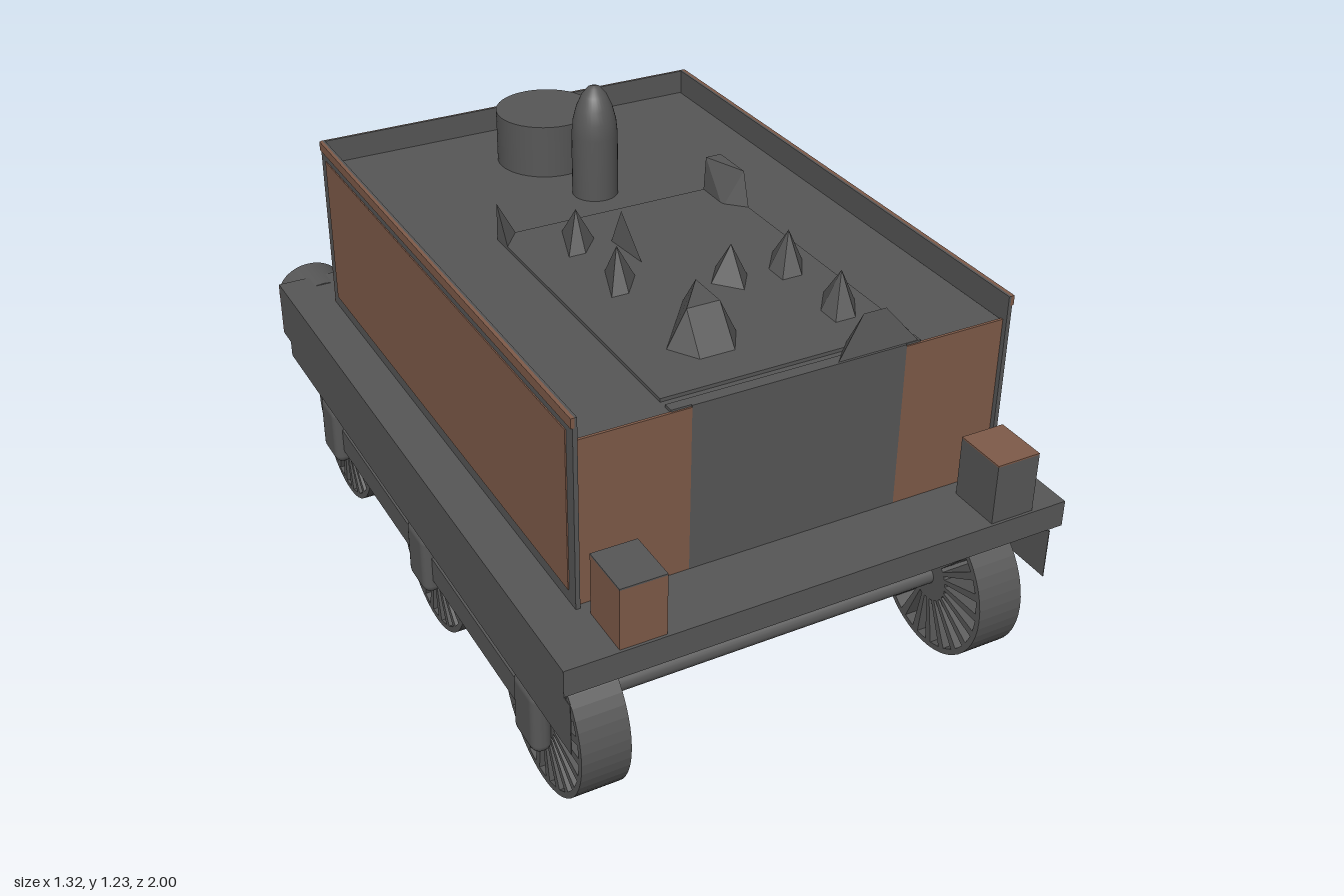
import * as THREE from 'three';
import { RoundedBoxGeometry } from 'three/addons/geometries/RoundedBoxGeometry.js';
import { ConvexGeometry } from 'three/addons/geometries/ConvexGeometry.js';

const mat = (name, color) => {
  const m = new THREE.MeshStandardMaterial({ color });
  m.name = name;
  return m;
};

export function createModel() {
  const grey = mat('ironGrey', 0x575757);
  const brown = mat('panelBrown', 0x7f5b49);
  const red = mat('beamRed', 0xb86668);
  const green = mat('plateGreen', 0xb2c08c);

  const model = new THREE.Group();
  model.name = 'coalTender';

  const add = (name, geo, material, x = 0, y = 0, z = 0, parent = model) => {
    const m = new THREE.Mesh(geo, material);
    m.name = name;
    m.position.set(x, y, z);
    parent.add(m);
    return m;
  };
  // Box given by its limits on each axis
  const box = (name, material, x0, x1, y0, y1, z0, z1, parent = model) =>
    add(name, new THREE.BoxGeometry(x1 - x0, y1 - y0, z1 - z0), material,
      (x0 + x1) / 2, (y0 + y1) / 2, (z0 + z1) / 2, parent);

  // Chassis
  box('footplate', grey, -0.655, 0.66, 0.437, 0.507, -0.92, 0.97);
  box('leftValance', grey, 0.619, 0.621, 0.302, 0.437, -0.86, 0.975);
  box('rightValance', grey, -0.655, -0.653, 0.302, 0.437, -0.86, 1.0);
  box('bufferBeam', grey, -0.655, 0.66, 0.347, 0.437, -0.92, -0.86);
  box('bufferBeamPaint', red, -0.655, 0.66, 0.348, 0.503, -0.923, -0.919);
  box('waterWell', grey, -0.335, 0.335, 0.232, 0.395, -0.78, 0.55);
  box('wellMount', grey, -0.3, 0.3, 0.39, 0.437, -0.75, 0.5);

  // Buffers
  for (const x of [-0.54, 0.537]) {
    const buffer = add('buffer', new THREE.CylinderGeometry(1, 1, 0.138, 32), grey, x, 0.432, -0.931);
    buffer.rotation.x = Math.PI / 2;
    buffer.scale.set(0.095, 1, 0.078);
  }

  // Spoked wheel outline, extruded along its axle
  const R = 0.21, WIDTH = 0.123, SPOKES = 22;
  const disc = new THREE.Shape().absarc(0, 0, R, 0, Math.PI * 2, false);
  const polar = (r, a) => new THREE.Vector2(Math.cos(a) * r, Math.sin(a) * r);
  for (let i = 0; i < SPOKES; i++) {
    const a = (i / SPOKES) * Math.PI * 2, b = ((i + 1) / SPOKES) * Math.PI * 2;
    const inner = 0.0055 / 0.07, outer = 0.0105 / 0.195;
    disc.holes.push(new THREE.Path([
      polar(0.07, a + inner), polar(0.07, b - inner),
      polar(0.195, b - outer), polar(0.195, a + outer),
    ]));
  }
  const wheelGeo = new THREE.ExtrudeGeometry(disc, { depth: WIDTH, bevelEnabled: false, curveSegments: 24 });
  wheelGeo.translate(0, 0, -WIDTH / 2);
  wheelGeo.rotateY(Math.PI / 2);
  const axleGeo = new THREE.CylinderGeometry(0.024, 0.024, 0.98, 16);
  axleGeo.rotateZ(Math.PI / 2);
  const axleBoxGeo = new RoundedBoxGeometry(0.052, 0.174, 0.12, 3, 0.024);

  for (const z of [0.745, 0.093, -0.567]) {
    const wheelset = new THREE.Group();
    wheelset.name = 'wheelset';
    wheelset.position.set(-0.015, R, z);
    model.add(wheelset);
    add('axle', axleGeo, grey, 0, 0, 0, wheelset);
    for (const s of [-1, 1]) {
      add('wheel', wheelGeo, grey, s * 0.533, 0, 0, wheelset);
      add('axleBox', axleBoxGeo, grey, s * 0.614, 0.004, 0, wheelset);
    }
  }
  // Bars joining the axle boxes
  for (const s of [-1, 1]) {
    const x = -0.015 + s * 0.61;
    box('axleBoxBar', grey, x - 0.008, x + 0.008, 0.17, 0.24, -0.567, 0.745);
  }

  // Tank body
  box('tankBody', grey, -0.535, 0.56, 0.507, 0.933, -0.745, 0.783);
  box('frontPanel', brown, -0.54, -0.255, 0.507, 0.935, 0.78, 0.787);
  box('frontPanel', brown, 0.295, 0.565, 0.507, 0.935, 0.78, 0.787);
  box('frontDoor', grey, -0.255, 0.295, 0.507, 0.94, 0.78, 0.787);
  box('rearWall', grey, -0.535, 0.565, 0.507, 1.0, -0.749, -0.744);
  box('rearPanel', brown, -0.543, 0.573, 0.507, 1.0, -0.752, -0.749);
  for (const y of [0.885, 0.62])
    box('rearPlate', green, -0.04, 0.095, y - 0.025, y + 0.025, -0.755, -0.751);

  // Side walls with a framed panel and a painted top edge
  for (const s of [-1, 1]) {
    const side = new THREE.Group();
    side.name = s > 0 ? 'leftSide' : 'rightSide';
    side.position.x = 0.015;
    model.add(side);
    const plate = (name, material, a, b, y0, y1, z0, z1) =>
      box(name, material, Math.min(s * a, s * b), Math.max(s * a, s * b), y0, y1, z0, z1, side);
    plate('sideWall', grey, 0.547, 0.558, 0.507, 0.975, -0.75, 0.8);
    plate('sidePanel', brown, 0.557, 0.561, 0.54, 0.955, -0.715, 0.768);
    plate('sideTopEdge', brown, 0.553, 0.562, 0.975, 1.0, -0.75, 0.8);
    plate('sideInnerEdge', grey, 0.547, 0.553, 0.975, 1.0, -0.75, 0.8);
  }

  // Toolboxes on the front of the footplate
  box('rightToolbox', brown, -0.52, -0.405, 0.507, 0.664, 0.825, 0.963);
  box('rightToolboxLid', grey, -0.52, -0.405, 0.664, 0.668, 0.825, 0.963);
  box('leftToolbox', grey, 0.45, 0.567, 0.507, 0.664, 0.825, 0.963);
  box('leftToolboxLid', brown, 0.45, 0.567, 0.664, 0.668, 0.825, 0.963);

  // Water filler and vent dome on the deck
  add('waterFiller', new THREE.CylinderGeometry(0.132, 0.132, 0.145, 40), grey, 0.015, 1.003, -0.515);
  const domeProfile = [[0.06, 0.93], [0.06, 1.1], [0.056, 1.14], [0.047, 1.175], [0.033, 1.207], [0.016, 1.227], [0, 1.232]];
  add('ventDome', new THREE.LatheGeometry(domeProfile.map(p => new THREE.Vector2(...p)), 32), grey, 0.035, 0, -0.255);

  // Coal bed, with a narrow groove near the front
  box('coalBed', grey, -0.305, 0.335, 0.93, 0.942, -0.12, 0.735);
  box('coalBedLip', grey, -0.305, 0.335, 0.93, 0.94, 0.757, 0.783);

  // Angular coal lumps: ground outline and peaks, as x, z pairs
  const lumps = [
    { base: [[-0.15, -0.08], [-0.09, 0], [-0.15, 0.07], [-0.2, 0.07]], peaks: [[-0.145, 0]] },
    { base: [[-0.065, 0.03], [-0.01, 0.03], [-0.05, 0.18]], peaks: [[-0.05, 0.06]] },
    { base: [[-0.15, 0.16], [-0.09, 0.22], [-0.15, 0.3], [-0.2, 0.3]], peaks: [[-0.145, 0.22]] },
    { base: [[-0.05, 0.37], [-0.01, 0.37], [-0.01, 0.56], [-0.06, 0.64], [-0.15, 0.64], [-0.2, 0.56]],
      peaks: [[-0.145, 0.56], [-0.06, 0.56], [-0.06, 0.45]] },
    { base: [[0.1, 0.26], [0.15, 0.26], [0.15, 0.34], [0.1, 0.41], [0.04, 0.34]], peaks: [[0.1, 0.335]] },
    ...[0, 0.23].map(dz => ({
      base: [[0.26, 0.26], [0.31, 0.26], [0.31, 0.33], [0.26, 0.41], [0.2, 0.41], [0.2, 0.34]].map(([x, z]) => [x, z + dz]),
      peaks: [[0.26, 0.335 + dz]],
    })),
    { base: [[0.11, 0.783], [0.18, 0.71], [0.26, 0.71], [0.335, 0.74], [0.335, 0.783]], peaks: [[0.19, 0.76], [0.25, 0.76]] },
    { base: [[-0.305, -0.12], [-0.25, -0.12], [-0.305, -0.05]], peaks: [[-0.304, -0.119]] },
    { base: [[0.285, -0.12], [0.335, -0.12], [0.335, 0.03], [0.285, -0.02]], peaks: [[0.334, -0.119], [0.29, -0.119], [0.334, 0]] },
  ];
  for (const { base, peaks } of lumps) {
    const points = [
      ...base.map(([x, z]) => new THREE.Vector3(x, 0.932, z)),
      ...peaks.map(([x, z]) => new THREE.Vector3(x, 1.033, z)),
    ];
    add('coalLump', new ConvexGeometry(points), grey);
  }
  return model;
}
